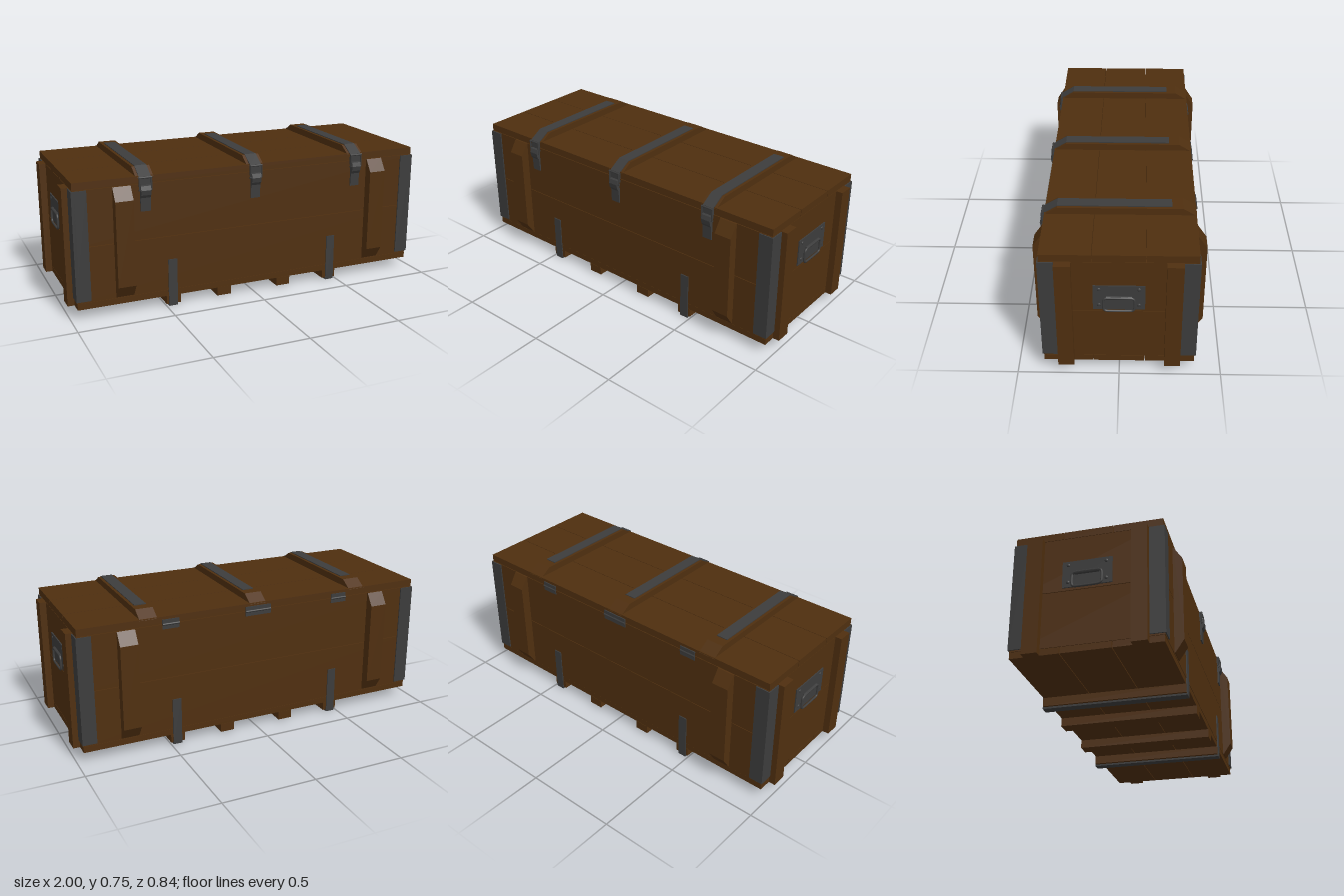
import * as THREE from 'three';

export function createModel() {
  const model = new THREE.Group();
  model.name = 'crate';
  const wood = new THREE.MeshStandardMaterial({ color: 0x4f2f0f });
  wood.name = 'brown wood';
  const metal = new THREE.MeshStandardMaterial({ color: 0x3c3c3c });
  metal.name = 'dark metal';

  const add = (name, geometry, material, parent = model) => {
    const mesh = new THREE.Mesh(geometry, material);
    mesh.name = name;
    parent.add(mesh);
    return mesh;
  };
  // Box given by its limits on each axis
  const box = (name, material, [x0, x1], [y0, y1], [z0, z1], parent) => {
    const mesh = add(name, new THREE.BoxGeometry(x1 - x0, y1 - y0, z1 - z0), material, parent);
    mesh.position.set((x0 + x1) / 2, (y0 + y1) / 2, (z0 + z1) / 2);
    return mesh;
  };
  // Side profile of [z, y] points swept along x
  const profile = (name, material, points, x, width, parent) => {
    const shape = new THREE.Shape(points.map(([z, y]) => new THREE.Vector2(z, y)));
    const geometry = new THREE.ExtrudeGeometry(shape, { depth: width, bevelEnabled: false });
    geometry.translate(0, 0, -width / 2).rotateY(-Math.PI / 2);
    const mesh = add(name, geometry, material, parent);
    mesh.position.x = x;
    return mesh;
  };

  const L = 0.965, W = 0.37, gap = 0.0015;

  // Lid and floor, three planks each
  for (const [z0, z1] of [[-W, -0.125], [-0.125, 0.125], [0.125, W]]) {
    const z = [z0 + gap, z1 - gap];
    box('lidPlank', wood, [-L, L], [0.672, 0.71], z);
    box('floorPlank', wood, [-L, L], [0.055, 0.088], z);
  }

  // Walls, two planks high
  for (const y of [[0.09, 0.38 - gap], [0.38 + gap, 0.67]]) {
    for (const s of [-1, 1]) {
      const z = s > 0 ? [W - 0.03, W] : [-W, -W + 0.03];
      const x = s > 0 ? [L - 0.03, L] : [-L, -L + 0.03];
      box('sidePlank', wood, [-L, L], y, z);
      box('endPlank', wood, x, y, [-W + 0.03, W - 0.03]);
    }
  }
  // Inner core closing the plank seams
  box('innerCore', wood, [-0.94, 0.94], [0.08, 0.68], [-0.345, 0.345]);

  // Chamfered side battens, front and back
  const sideBatten = [[0.365, 0.095], [0.375, 0.095], [0.418, 0.16], [0.418, 0.605], [0.375, 0.67], [0.365, 0.67]];
  for (const x of [-0.72, 0.72]) {
    profile('frontBatten', wood, sideBatten, x, 0.093);
    profile('backBatten', wood, sideBatten, -x, 0.093).rotation.y = Math.PI;
  }

  // End fittings: battens, metal corners, handles; the second end is turned round
  for (const s of [1, -1]) {
    const end = new THREE.Group();
    end.name = s > 0 ? 'leftEnd' : 'rightEnd';
    if (s < 0) end.rotation.y = Math.PI;
    model.add(end);
    for (const t of [1, -1]) {
      const span = (a, b) => (t > 0 ? [a, b] : [-b, -a]);
      box('endBatten', wood, [L - 0.01, 1], [0.055, 0.67], span(0.22, 0.298), end);
      box('cornerEndPlate', metal, [L - 0.01, 0.971], [0.098, 0.668], span(0.3, 0.376), end);
      box('cornerSidePlate', metal, [0.895, 0.971], [0.098, 0.668], span(0.365, 0.376), end);
      for (const y of [0.422, 0.515]) {
        const rivet = add('rivet', new THREE.SphereGeometry(0.009, 10, 8), metal, end);
        rivet.scale.x = 0.5;
        rivet.position.set(0.971, y, t * 0.094);
      }
    }
    box('handlePlate', metal, [L - 0.005, 0.971], [0.395, 0.535], [-0.123, 0.123], end);
    // Rounded rectangular handle ring
    const corners = [[-1, 1], [1, 1], [1, -1], [-1, -1]];
    const path = [];
    corners.forEach(([cz, cy], i) => {
      for (let k = 0; k <= 4; k++) {
        const a = Math.PI * 0.75 - i * Math.PI / 2 + Math.PI / 4 - k * Math.PI / 8;
        path.push(new THREE.Vector3(0, cy * 0.022 + 0.016 * Math.sin(a), cz * 0.057 + 0.016 * Math.cos(a)));
      }
    });
    const curve = new THREE.CatmullRomCurve3(path, true, 'centripetal');
    const ring = add('handle', new THREE.TubeGeometry(curve, 64, 0.006, 8, true), metal, end);
    ring.position.set(0.978, 0.43, 0);
    const hinge = add('handlePivot', new THREE.CylinderGeometry(0.009, 0.009, 0.12, 10), metal, end);
    hinge.rotation.x = Math.PI / 2;
    hinge.position.set(0.974, 0.467, 0);
  }

  // Lid battens with metal straps and latches
  const lidBatten = [[-W, 0.705], [W, 0.705], [0.305, 0.746], [-0.305, 0.746]];
  const strap = [[-0.25, 0.74], [0.303, 0.74], [0.366, 0.7], [0.366, 0.65], [0.376, 0.65],
    [0.376, 0.707], [0.306, 0.75], [-0.25, 0.75]];
  const lever = [[0.365, 0.53], [0.377, 0.53], [0.38, 0.6], [0.39, 0.615], [0.395, 0.64],
    [0.388, 0.662], [0.365, 0.668]];
  for (const x of [-0.6, 0, 0.6]) {
    const latch = new THREE.Group();
    latch.name = 'lidFastening';
    model.add(latch);
    profile('lidBatten', wood, lidBatten, x, 0.092, latch);
    profile('lidStrap', metal, strap, x, 0.062, latch);
    profile('latchLever', metal, lever, x, 0.052, latch);
    // Wire bail over a catch on the lid edge
    for (const t of [-1, 1]) {
      const wire = add('latchWire', new THREE.CylinderGeometry(0.004, 0.004, 0.065, 8), metal, latch);
      wire.position.set(x + t * 0.031, 0.672, 0.383);
    }
    for (const y of [0.64, 0.703]) {
      const bar = add('latchBar', new THREE.CylinderGeometry(0.005, 0.005, 0.07, 8), metal, latch);
      bar.rotation.z = Math.PI / 2;
      bar.position.set(x, y, 0.381);
    }
  }

  // Back hinges
  for (const [x, w] of [[-0.485, 0.09], [0, 0.145], [0.485, 0.09]]) {
    box('hingePlate', metal, [x - w / 2, x + w / 2], [0.645, 0.695], [-0.374, -0.36]);
    const pin = add('hingePin', new THREE.CylinderGeometry(0.006, 0.006, w, 10), metal);
    pin.rotation.z = Math.PI / 2;
    pin.position.set(x, 0.67, -0.373);
  }

  // Runners beneath the floor
  for (const x of [-0.46, -0.175, 0.175, 0.46]) {
    box('runner', wood, [x - 0.039, x + 0.039], [0.01, 0.056], [-W, W]);
  }
  // U-shaped metal straps under the outer runners
  const cradle = [[-0.375, 0], [0.375, 0], [0.375, 0.255], [0.368, 0.255], [0.368, 0.012],
    [-0.368, 0.012], [-0.368, 0.255], [-0.375, 0.255]];
  for (const x of [-0.463, 0.463]) profile('runnerStrap', metal, cradle, x, 0.048);

  return model;
}
